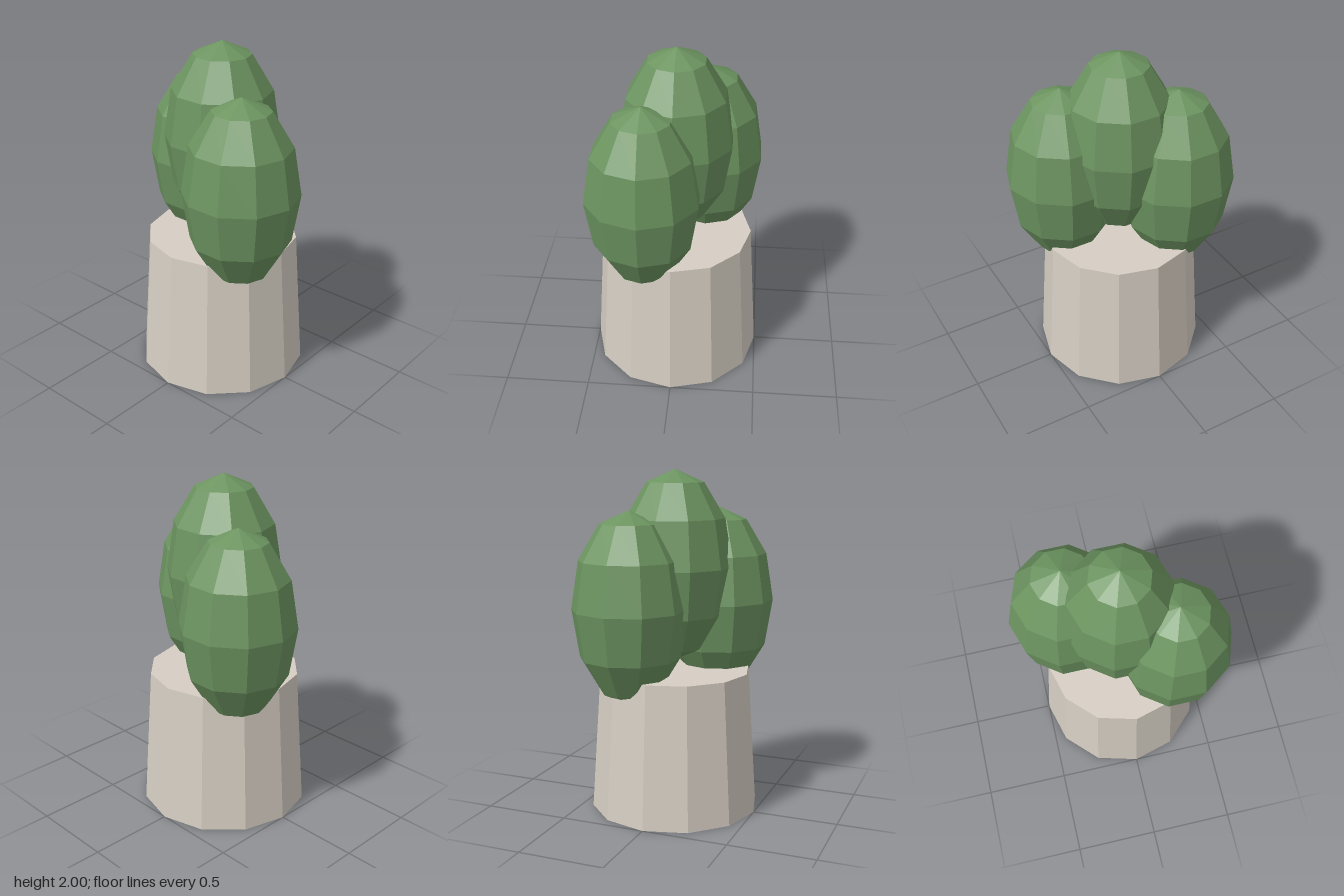
import * as THREE from 'three';

export function createModel() {
  const model = new THREE.Group();
  model.name = 'pottedCactus';

  const stone = new THREE.MeshStandardMaterial({ name: 'paleStone', color: 0xd6cec3, flatShading: true });
  const green = new THREE.MeshStandardMaterial({ name: 'leafGreen', color: 0x6c9460, flatShading: true });

  // Tapered twelve-sided pot
  const potHeight = 0.833;
  const pot = new THREE.Mesh(new THREE.CylinderGeometry(0.444, 0.5, potHeight, 12), stone);
  pot.name = 'pot';
  pot.position.y = potHeight / 2;
  model.add(pot);

  // Three equal egg-shaped lobes: a tall middle one and two lower ones set diagonally
  const lobeGeometry = new THREE.SphereGeometry(0.333, 10, 6);
  lobeGeometry.scale(1, 5 / 3, 1);
  const addLobe = (name, x, y, z) => {
    const lobe = new THREE.Mesh(lobeGeometry, green);
    lobe.name = name;
    lobe.position.set(x, y, z);
    model.add(lobe);
  };
  addLobe('middleLobe', 0, 1.444, 0);
  addLobe('leftFrontLobe', 0.278, 1.222, 0.167);
  addLobe('rightBackLobe', -0.278, 1.222, -0.167);

  return model;
}
